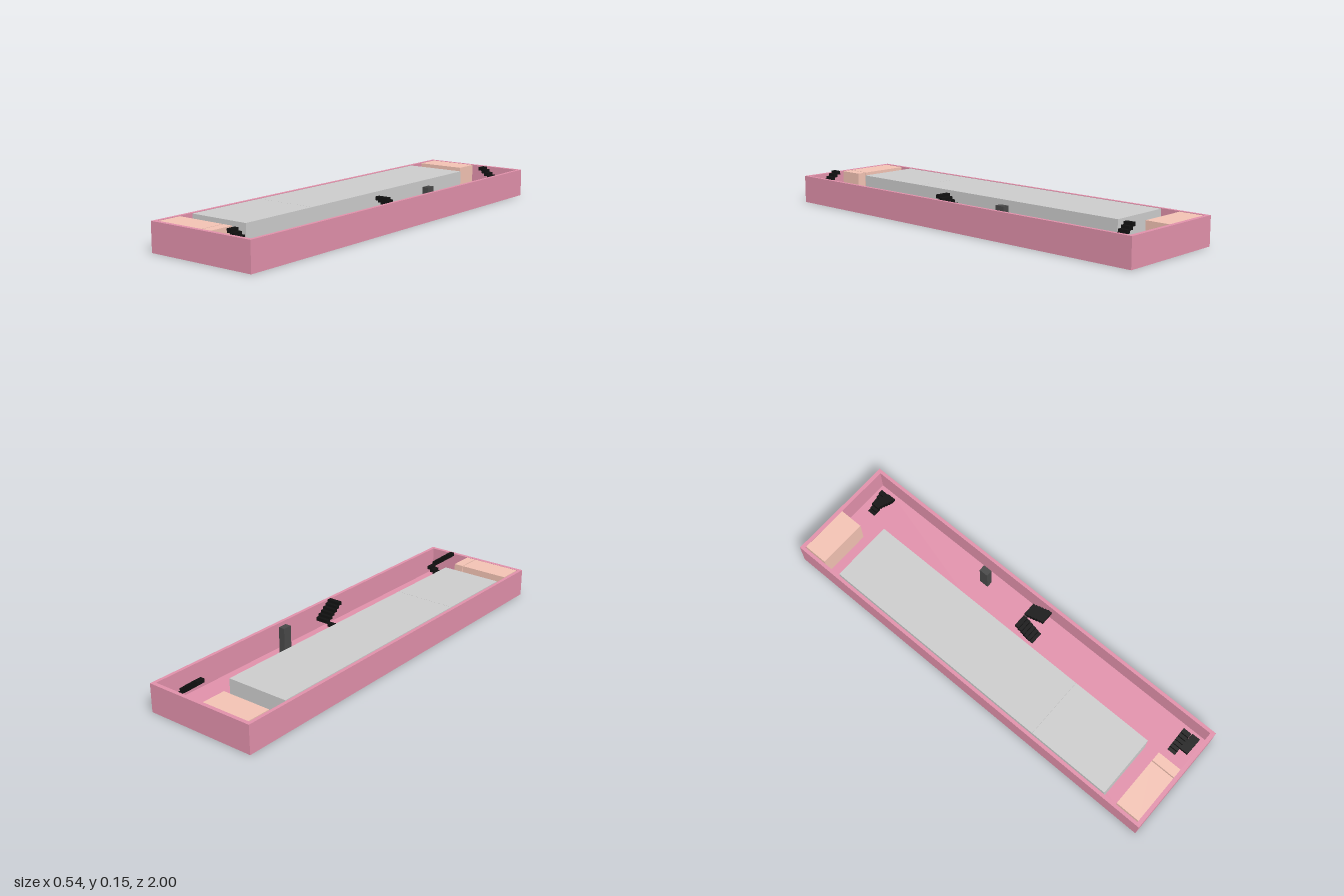
import * as THREE from 'three';

const W = 0.272, L = 1, H = 0.132, FLOOR = 0.012;
const paint = (color) => new THREE.MeshStandardMaterial({ color });
const pink = paint(0xe090aa), peach = paint(0xf2c2b3), grey = paint(0xcccccc);
const charcoal = paint(0x484848), black = paint(0x111111);

// Box given by its limits on each axis
function block(name, material, [x0, x1], [y0, y1], [z0, z1]) {
  const mesh = new THREE.Mesh(new THREE.BoxGeometry(x1 - x0, y1 - y0, z1 - z0), material);
  mesh.position.set((x0 + x1) / 2, (y0 + y1) / 2, (z0 + z1) / 2);
  mesh.name = name;
  return mesh;
}

function rectangle(Path, x, y) {
  const p = new Path();
  p.moveTo(-x, -y);
  p.lineTo(x, -y);
  p.lineTo(x, y);
  p.lineTo(-x, y);
  p.closePath();
  return p;
}

// Dog-leg stair: runs along local x, the lower flight up to +x and the
// upper flight back to -x; the upper flight lies at local +z
function staircase(name, run, width) {
  const stair = new THREE.Group();
  stair.name = name;
  const steps = 6, depth = 0.0225, rise = 0.0122, top = 0.147, thick = 0.017, gap = 0.003;
  const pitch = (run - depth) / (steps - 1);
  for (let i = 0; i < 2 * steps; i++) {
    const upper = i >= steps;
    const x = -run / 2 + (upper ? 2 * steps - 1 - i : i) * pitch;
    const y = top - (2 * steps - 1 - i) * rise;
    const z = upper ? [gap / 2, width / 2] : [-width / 2, -gap / 2];
    stair.add(block(upper ? 'upperStep' : 'lowerStep', black,
      [x, x + depth], [Math.max(y - thick, 0.002), y], z));
  }
  return stair;
}

export function createModel() {
  const model = new THREE.Group();
  model.name = 'floorPlan';

  // Open tray: floor and surrounding wall
  model.add(block('floor', pink, [-W, W], [0, FLOOR], [-L, L]));
  const ring = rectangle(THREE.Shape, W, L);
  ring.holes.push(rectangle(THREE.Path, 0.256, 0.981));
  const wallGeometry = new THREE.ExtrudeGeometry(ring, { depth: H - FLOOR, bevelEnabled: false });
  wallGeometry.rotateX(-Math.PI / 2);
  const walls = new THREE.Mesh(wallGeometry, pink);
  walls.name = 'outerWalls';
  walls.position.y = FLOOR;
  model.add(walls);

  // Large halls
  const tall = [0.002, 0.131];
  model.add(block('longHall', grey, [-0.25, 0.053], tall, [-0.77, 0.39]));
  model.add(block('shortHall', grey, [-0.25, 0.053], tall, [0.391, 0.795]));

  // Small rooms at both ends
  model.add(block('backRoom', peach, [-0.25, -0.008], tall, [-0.982, -0.863]));
  model.add(block('frontRoom', peach, [-0.25, -0.008], tall, [0.863, 0.982]));
  model.add(block('frontCloset', peach, [-0.003, 0.043], tall, [0.863, 0.982]));

  // Lift shaft
  model.add(block('liftShaft', charcoal, [0.183, 0.214], [0.002, 0.141], [-0.29, -0.245]));

  // Staircases
  const back = staircase('backStairs', 0.106, 0.086);
  back.position.set(0.161, 0, -0.898);
  const front = staircase('frontStairs', 0.106, 0.086);
  front.position.set(0.166, 0, 0.919);
  const middle = staircase('middleStairs', 0.106, 0.132);
  middle.rotation.y = Math.PI / 2;
  middle.position.set(0.169, 0, 0.045);
  model.add(back, front, middle);

  return model;
}
